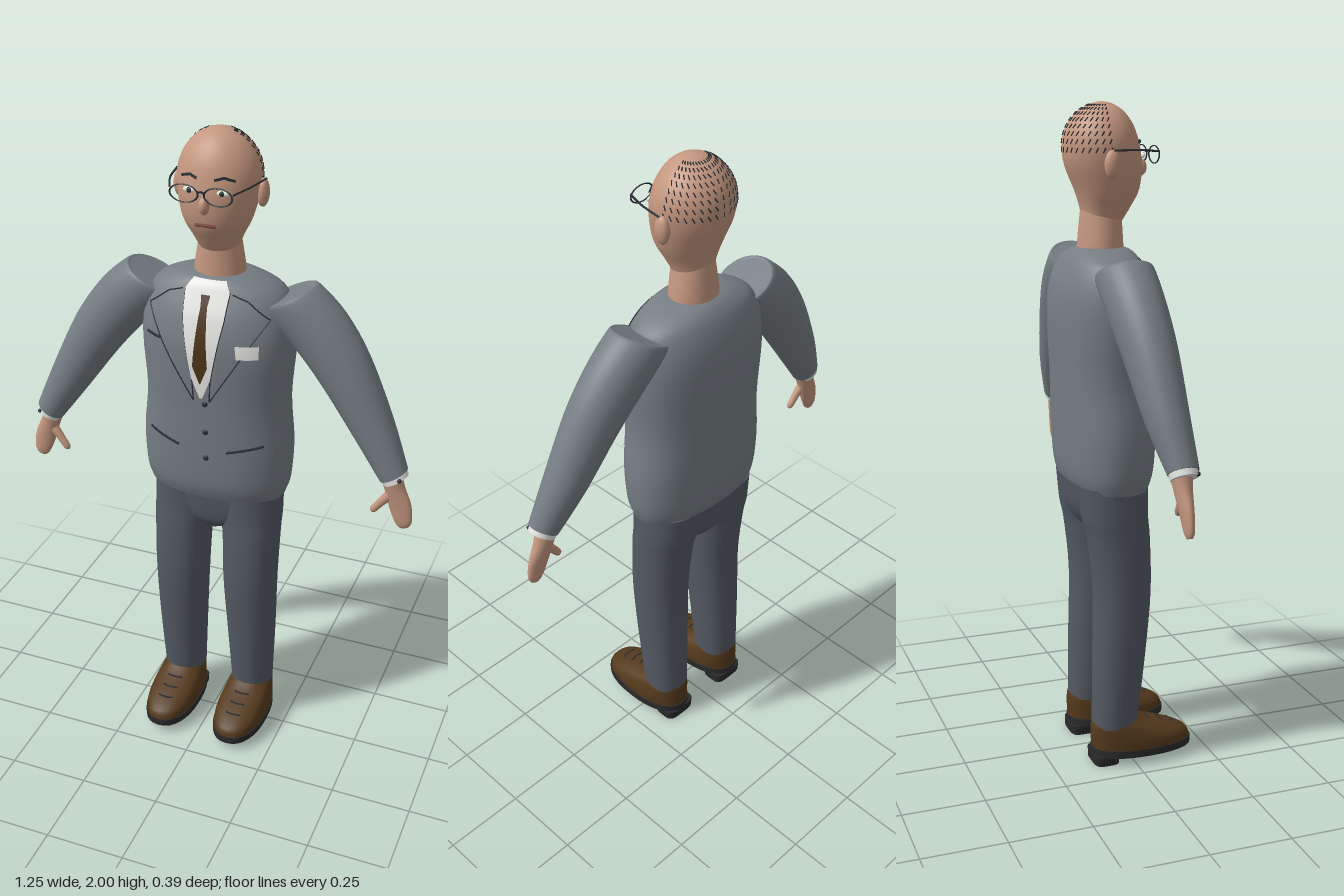
import * as THREE from 'three';
import { mergeGeometries } from 'three/addons/utils/BufferGeometryUtils.js';

const mat = (name, color) => Object.assign(new THREE.MeshStandardMaterial({ color }), { name });

// Sections are rows of [x, y, z, halfWidth, halfDepth, tilt], smoothly blended at t
function section(rows, t) {
  const i = Math.min(Math.floor(t), rows.length - 2), f = t - i;
  const at = k => rows[Math.max(0, Math.min(rows.length - 1, k))];
  return [0, 1, 2, 3, 4, 5].map(c => {
    const [a, b, d, e] = [i - 1, i, i + 1, i + 2].map(k => at(k)[c] || 0);
    return b + 0.5 * f * (d - a + f * (2 * a - 5 * b + 4 * d - e + f * (3 * (b - d) + e - a)));
  });
}

// Point on the skin of a lofted body; n is the squareness of its outline
function skinPoint(rows, n, t, angle) {
  const [x, y, z, a, b, tilt] = section(rows, t);
  const c = Math.cos(angle), s = Math.sin(angle);
  const u = a * Math.sign(c) * Math.abs(c) ** (2 / n);
  const v = b * Math.sign(s) * Math.abs(s) ** (2 / n);
  return new THREE.Vector3(x + u * Math.cos(tilt), y + u * Math.sin(tilt), z + v);
}

// Point on the front of a lofted body at a given x and y
function onFront(rows, n, x, y, lift) {
  let lo = 0, hi = rows.length - 1;
  for (let k = 0; k < 24; k++) {
    const m = (lo + hi) / 2;
    if (section(rows, m)[1] < y) lo = m; else hi = m;
  }
  const [cx, , cz, a, b] = section(rows, lo);
  const q = Math.min(1, Math.abs((x - cx) / a));
  return new THREE.Vector3(x, y, cz + b * (1 - q ** n) ** (1 / n) + lift);
}

function surface(points, index) {
  const g = new THREE.BufferGeometry().setFromPoints(points);
  g.setIndex(index);
  g.computeVertexNormals();
  return g;
}

// Closed body lofted from bottom to top, with flat end caps
function loft(rows, n = 2, seg = 32, steps = 4) {
  const p = [], idx = [], count = (rows.length - 1) * steps;
  for (let j = 0; j <= count; j++)
    for (let i = 0; i < seg; i++) p.push(skinPoint(rows, n, j / steps, i / seg * Math.PI * 2));
  for (let j = 0; j < count; j++)
    for (let i = 0; i < seg; i++) {
      const k = (i + 1) % seg, a = j * seg + i, b = j * seg + k;
      idx.push(a, a + seg, b, b, a + seg, b + seg);
    }
  for (const j of [0, count]) {
    const start = p.length, [x, y, z] = section(rows, j / steps);
    for (let i = 0; i < seg; i++) p.push(p[j * seg + i].clone());
    p.push(new THREE.Vector3(x, y, z));
    for (let i = 0; i < seg; i++) {
      const a = start + i, b = start + (i + 1) % seg;
      if (j) idx.push(a, start + seg, b); else idx.push(a, b, start + seg);
    }
  }
  return surface(p, idx);
}

// Cloth panel hugging the front of a body; edges run downwards as [y, xLeft, xRight]
function panel(rows, n, edges, lift) {
  const p = [], idx = [], cols = 10, steps = 6, count = (edges.length - 1) * steps;
  for (let j = 0; j <= count; j++) {
    const k = Math.min(Math.floor(j / steps), edges.length - 2), f = j / steps - k;
    const [y, l, r] = edges[k].map((v, c) => v + (edges[k + 1][c] - v) * f);
    for (let i = 0; i <= cols; i++) p.push(onFront(rows, n, l + (r - l) * i / cols, y, lift));
  }
  for (let j = 0; j < count; j++)
    for (let i = 0; i < cols; i++) {
      const a = j * (cols + 1) + i, b = a + cols + 1;
      idx.push(a, b, a + 1, a + 1, b, b + 1);
    }
  return surface(p, idx);
}

// Thin seam following the front of a body through [x, y] points
function seam(rows, n, pts, radius, lift = 0.002) {
  const path = [];
  for (let k = 0; k < pts.length - 1; k++)
    for (let i = k ? 1 : 0; i <= 8; i++) {
      const [x, y] = pts[k].map((v, c) => v + (pts[k + 1][c] - v) * i / 8);
      path.push(onFront(rows, n, x, y, lift));
    }
  return new THREE.TubeGeometry(new THREE.CatmullRomCurve3(path), path.length * 2, radius, 5);
}

const rod = (pts, r) => new THREE.TubeGeometry(
  new THREE.CatmullRomCurve3(pts.map(p => new THREE.Vector3(...p))), 12, r, 6);
const blob = (pos, sx, sy, sz) =>
  new THREE.SphereGeometry(1, 20, 14).scale(sx, sy, sz).translate(...pos);
const mirror = (rows, s) => rows.map(([x, y, z, a, b, t = 0]) => [s * x, y, z, a, b, s * t]);

const HEAD = [[0, 1.66, -.045, .058, .06], [0, 1.70, -.035, .075, .075], [0, 1.75, -.03, .1, .095],
  [0, 1.82, -.04, .117, .113], [0, 1.88, -.048, .121, .112], [0, 1.93, -.05, .105, .098],
  [0, 1.97, -.048, .073, .069], [0, 1.993, -.045, .034, .032], [0, 2, -.045, .002, .002]];
const NECK = [[0, 1.54, -.05, .08, .07], [0, 1.6, -.05, .075, .067], [0, 1.7, -.048, .058, .06]];
const JACKET = [[0, .875, -.045, .215, .115], [0, .93, -.045, .23, .132], [0, 1.05, -.045, .235, .14],
  [0, 1.2, -.045, .222, .145], [0, 1.37, -.045, .233, .15], [0, 1.47, -.05, .225, .137],
  [0, 1.54, -.053, .195, .11], [0, 1.573, -.05, .13, .088], [0, 1.585, -.05, .075, .066]];
const HIPS = [[0, .735, -.045, .03, .06], [0, .77, -.047, .13, .09], [0, .82, -.052, .195, .104],
  [0, .9, -.055, .208, .113]];
const LEG = [[.12, .12, -.05, .066, .07], [.119, .35, -.035, .077, .081], [.116, .55, -.025, .085, .088],
  [.114, .72, -.035, .09, .095], [.108, .79, -.045, .098, .1], [.105, .89, -.05, .1, .105]];
const SLEEVE = [[.56, 1.035, -.012, .046, .044, .55], [.485, 1.17, -.03, .066, .062, .62],
  [.39, 1.33, -.042, .084, .076, .63], [.305, 1.44, -.05, .092, .083, .62],
  [.215, 1.525, -.052, .095, .084, .48], [.21, 1.535, -.052, .08, .072, .46]];
const CUFF = [[.568, 1.02, -.012, .041, .039, .55], [.555, 1.045, -.014, .043, .041, .55]];
const HAND = [[.605, .862, -.01, .014, .007, .3], [.601, .88, -.01, .026, .013, .3],
  [.587, .93, -.012, .034, .018, .35], [.567, .985, -.014, .031, .025, .45],
  [.552, 1.035, -.015, .034, .033, .5]];
const THUMB = [[.502, .9, -.004, .003, .003, -.64], [.508, .908, -.004, .011, .01, -.64],
  [.53, .937, -.006, .013, .012, -.64], [.562, .975, -.01, .018, .015, -.64]];
const SHOE = [[.12, .05, .037, .08, .16], [.12, .075, .031, .08, .155], [.12, .1, .005, .075, .13],
  [.12, .125, -.032, .067, .09], [.12, .143, -.045, .056, .068]];
const SOLE = [[.12, .028, .037, .083, .163], [.12, .051, .037, .083, .163]];
const HEEL = [[.117, 0, -.085, .056, .04], [.117, .03, -.085, .058, .041]];

export function createModel() {
  const model = new THREE.Group();
  const suit = mat('suit grey', 0x767e84), cloth = mat('trouser grey', 0x545a64),
    skin = mat('skin', 0xc4977f), white = mat('shirt white', 0xeeeeea), ink = mat('dark trim', 0x2c3036),
    brown = mat('tie brown', 0x4b3318), leather = mat('shoe leather', 0x553a1c),
    rubber = mat('sole black', 0x2a2a2c), lip = mat('lip', 0x7e483e);
  const add = (name, geometry, material) => {
    const m = new THREE.Mesh(geometry, material);
    m.name = name;
    model.add(m);
  };

  // Head and face
  add('head', loft(HEAD, 2, 40), skin);
  add('neck', loft(NECK), skin);
  add('nose', blob([0, 1.812, .074], .015, .026, .021), skin);
  add('mouth', seam(HEAD, 2, [[-.03, 1.75], [0, 1.753], [.03, 1.75]], .005), lip);
  for (const s of [-1, 1]) {
    const eye = onFront(HEAD, 2, s * .048, 1.848, 0);
    add('eye', blob([eye.x, eye.y, eye.z], .02, .009, .007), white);
    add('iris', blob([eye.x, eye.y, eye.z + .004], .008, .008, .005), ink);
    add('eyebrow', seam(HEAD, 2, [[s * .025, 1.883], [s * .05, 1.89], [s * .078, 1.88]], .004), ink);
    add('ear', blob([s * .124, 1.825, -.055], .018, .042, .024), skin);
    // Spectacles
    add('lensRim', new THREE.TorusGeometry(1, .07, 6, 32).scale(.041, .025, .03)
      .translate(s * .05, 1.85, .099), ink);
    add('spectacleArm', rod([[s * .091, 1.86, .099], [s * .118, 1.865, .03], [s * .133, 1.865, -.055]], .003), ink);
  }
  add('spectacleBridge', rod([[-.01, 1.855, .099], [0, 1.86, .101], [.01, 1.855, .099]], .003), ink);

  // Combed strands over the back and sides of the scalp
  const strands = [];
  for (let j = 0; j < 8; j++)
    for (let i = 0; i < 17; i++) {
      const t = 3.6 + j * .43, angle = Math.PI * (1.04 + .92 * i / 16);
      const sway = .07 * Math.sign(i - 8);
      const ends = [0, .13, .26].map(d => skinPoint(HEAD, 2, t + d, angle + sway * d * 4));
      strands.push(new THREE.TubeGeometry(new THREE.CatmullRomCurve3(ends), 3, .0022, 4));
    }
  add('hairStrands', mergeGeometries(strands), ink);

  // Jacket, shirt and tie
  add('jacket', loft(JACKET, 2.3, 48), suit);
  add('shirtFront', panel(JACKET, 2.3,
    [[1.58, -.05, .05], [1.555, -.067, .067], [1.48, -.062, .062], [1.3, -.03, .03], [1.235, -.004, .004]], .005), white);
  add('tie', panel(JACKET, 2.3, [[1.545, -.014, .014], [1.515, -.01, .01], [1.34, -.023, .023],
    [1.285, -.001, .001]], .01), brown);
  add('pocketSquare', panel(JACKET, 2.3, [[1.415, .1, .165], [1.375, .105, .165]], .006), white);
  add('breastPocket', seam(JACKET, 2.3, [[-.185, 1.402], [-.13, 1.4]], .004), ink);
  for (const s of [-1, 1]) {
    add('lapelSeam', seam(JACKET, 2.3, [[s * .075, 1.55], [s * .12, 1.535], [s * .185, 1.485],
      [s * .15, 1.43], [s * .025, 1.225]], .002), ink);
    add('lapelFold', seam(JACKET, 2.3, [[s * .067, 1.555], [s * .062, 1.48], [s * .028, 1.29],
      [s * .025, 1.225]], .002), ink);
    add('hipPocket', seam(JACKET, 2.3, [[s * .075, 1.06], [s * .18, 1.085]], .004), ink);
  }
  for (const y of [1.215, 1.12, 1.03]) {
    const b = onFront(JACKET, 2.3, .01, y, 0);
    add('button', blob([b.x, b.y, b.z], .009, .009, .006), ink);
  }

  // Trousers, arms and shoes
  add('trouserSeat', loft(HIPS, 2.3, 40), cloth);
  for (const s of [-1, 1]) {
    const shoe = mirror(SHOE, s);
    add('trouserLeg', loft(mirror(LEG, s), 2.2), cloth);
    add('sleeve', loft(mirror(SLEEVE, s)), suit);
    add('cuff', loft(mirror(CUFF, s)), white);
    add('cuffButton', blob([s * .585, 1.035, .02], .007, .007, .007), ink);
    add('hand', loft(mirror(HAND, s)), skin);
    add('thumb', loft(mirror(THUMB, s), 2, 16), skin);
    add('shoe', loft(shoe, 2.3), leather);
    add('sole', loft(mirror(SOLE, s), 2.3, 32, 1), rubber);
    add('heel', loft(mirror(HEEL, s), 4, 32, 1), rubber);
    for (const y of [.1, .113, .126])
      add('shoelace', seam(shoe, 2.3, [[s * .095, y], [s * .145, y]], .003), ink);
  }
  return model;
}
